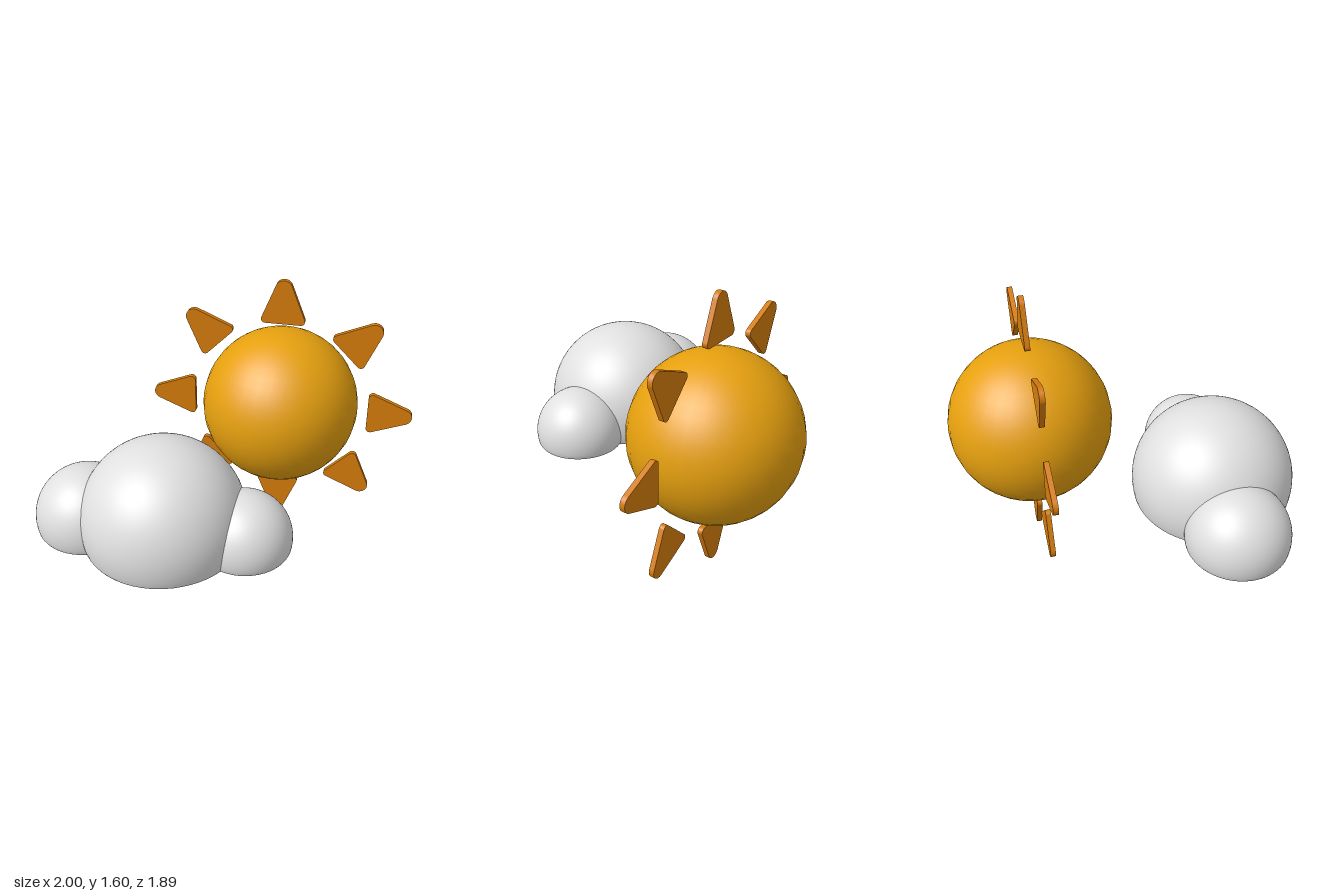
import * as THREE from 'three';

const sunYellow = new THREE.MeshStandardMaterial({ color: 0xe6a00f });
sunYellow.name = 'sun yellow';
const rayOrange = new THREE.MeshStandardMaterial({ color: 0xd67c0c });
rayOrange.name = 'ray orange';
const cloudWhite = new THREE.MeshStandardMaterial({ color: 0xe0e0e0 });
cloudWhite.name = 'cloud white';

function addMesh(parent, name, geometry, material) {
  const mesh = new THREE.Mesh(geometry, material);
  mesh.name = name;
  parent.add(mesh);
  return mesh;
}

// Polygon outline with rounded corners; points are [x, y, cornerRadius]
function roundedShape(points) {
  const shape = new THREE.Shape();
  points.forEach(([x, y, r], i) => {
    const p = new THREE.Vector2(x, y);
    const [prev, next] = [i + points.length - 1, i + 1].map((k) => {
      const [nx, ny] = points[k % points.length];
      return new THREE.Vector2(nx, ny).sub(p).normalize();
    });
    const half = Math.acos(prev.dot(next)) / 2;
    const centre = prev.clone().add(next).normalize().multiplyScalar(r / Math.sin(half)).add(p);
    const start = prev.clone().multiplyScalar(r / Math.tan(half)).add(p).sub(centre).angle();
    shape.absarc(centre.x, centre.y, r, start, start + Math.PI - 2 * half, false);
  });
  shape.closePath();
  return shape;
}

// Puff: a sphere cut flat at the cloud base, with a slightly softened rim
function addPuff(parent, name, x, y, z, r, base) {
  const puff = new THREE.Group();
  puff.name = name;
  puff.position.set(x, y, z);
  const cut = base - y;
  const low = Math.asin((cut + 0.015) / r);
  const capRadius = r * Math.cos(low) - 0.015;
  const profile = [
    new THREE.Vector2(capRadius, cut),
    new THREE.Vector2(capRadius + 0.009, cut + 0.004),
  ];
  for (let i = 0; i <= 24; i++) {
    const a = low + (Math.PI / 2 - low) * (i / 24);
    profile.push(new THREE.Vector2(i === 24 ? 0 : r * Math.cos(a), r * Math.sin(a)));
  }
  addMesh(puff, name + 'Dome', new THREE.LatheGeometry(profile, 64), cloudWhite);
  const bottom = addMesh(puff, name + 'Base', new THREE.CircleGeometry(capRadius, 64), cloudWhite);
  bottom.rotation.x = Math.PI / 2;
  bottom.position.y = cut;
  parent.add(puff);
}

export function createModel() {
  const model = new THREE.Group();
  model.name = 'sunAndCloud';

  // Sun ball
  const sun = new THREE.Group();
  sun.name = 'sun';
  sun.position.set(0.2, 0.8, -0.472);
  addMesh(sun, 'sunBall', new THREE.SphereGeometry(0.474, 32, 24), sunYellow);

  // Eight flat rounded rays around the ball
  const outline = roundedShape([[-0.141, 0.535, 0.025], [0.141, 0.535, 0.025], [0, 0.885, 0.05]]);
  const rayGeometry = new THREE.ExtrudeGeometry(outline, {
    depth: 0.03, bevelEnabled: false, curveSegments: 8,
  });
  rayGeometry.translate(0, 0, -0.015);
  for (let i = 0; i < 8; i++) {
    addMesh(sun, 'ray' + (i + 1), rayGeometry, rayOrange).rotation.z = (i * Math.PI) / 4;
  }
  model.add(sun);

  // Cloud of three flat-bottomed puffs
  const cloud = new THREE.Group();
  cloud.name = 'cloud';
  addPuff(cloud, 'middlePuff', -0.273, 0.568, 0.488, 0.458, 0.441);
  addPuff(cloud, 'rightPuff', -0.712, 0.522, 0.487, 0.288, 0.444);
  addPuff(cloud, 'leftPuff', 0.178, 0.513, 0.487, 0.26, 0.444);
  model.add(cloud);

  return model;
}
